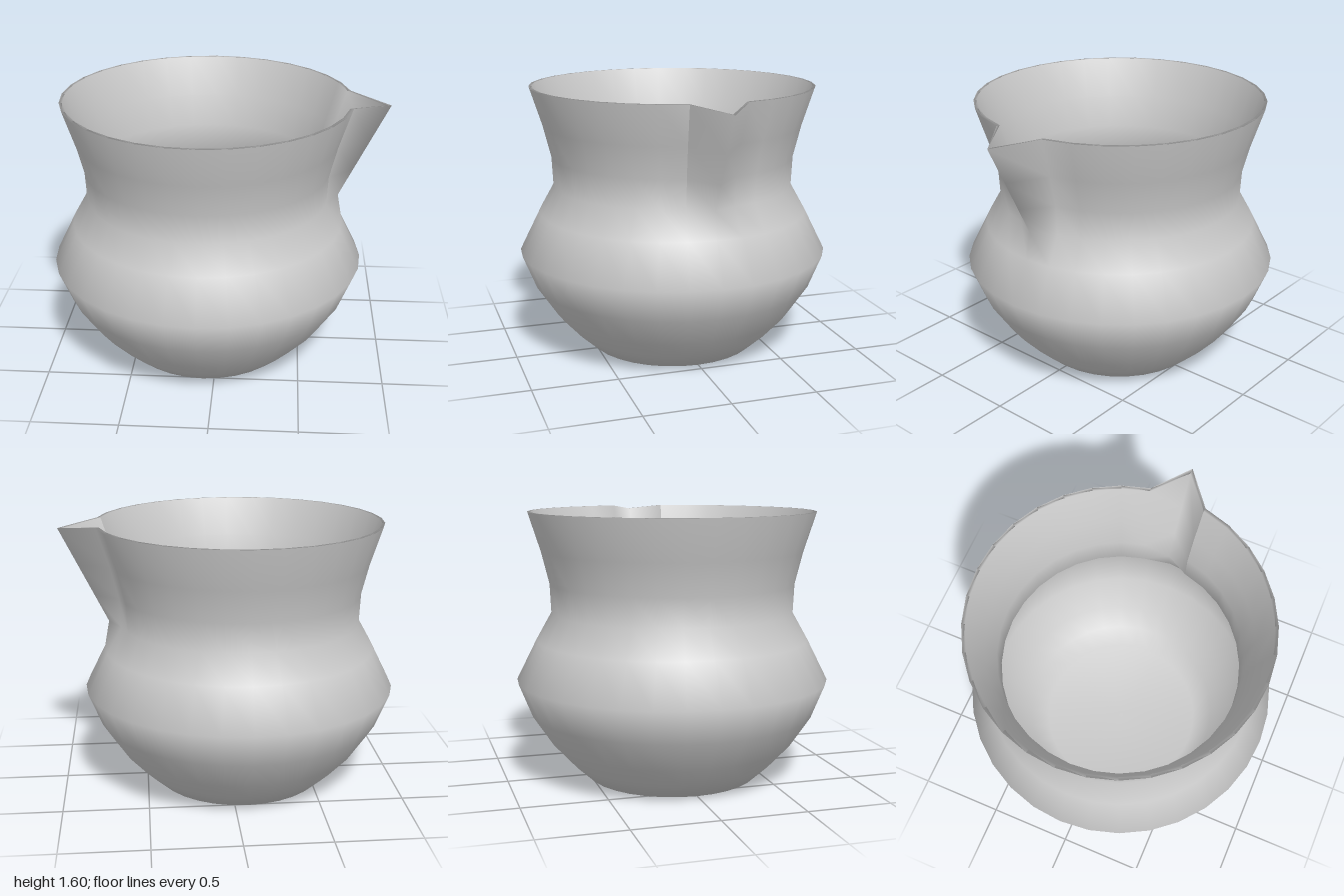
import * as THREE from 'three';

const SEGMENTS = 32;
const WALL = 0.02;

export function createModel() {
  const group = new THREE.Group();
  group.name = 'jug';

  // Outer wall as [radius, height], from the foot to the rim
  const outer = [
    [0.51, 0], [0.62, 0.1], [0.73, 0.22], [0.85, 0.4], [0.93, 0.6],
    [0.81, 0.84], [0.72, 1.0], [0.728, 1.17], [0.775, 1.36], [0.85, 1.595],
  ];
  const inner = outer.map(([r, y], i) => [r - WALL, i === 0 ? WALL : y]).reverse();
  const profile = [[0, 0], ...outer, ...inner, [0, WALL]];
  const rows = profile.length;

  // The seam runs along the front edge of the spout, which lies in column 1
  const step = (Math.PI * 2) / SEGMENTS;
  const geometry = new THREE.LatheGeometry(
    profile.map(([r, y]) => new THREE.Vector2(r, y)), SEGMENTS, Math.PI / 2 - step);
  const pos = geometry.attributes.position;

  // Pull one column of the neck outwards into a pointed spout
  profile.forEach(([, y], row) => {
    if (y < 0.99) return;
    const t = (y - 1) / 0.595;
    const thickness = row > outer.length ? WALL + 0.015 * t : 0;
    pos.setXYZ(rows + row, 0.78 + 0.28 * t - thickness, y - 0.03 * t, 0);
  });
  geometry.computeVertexNormals();

  // Smooth the seam on the belly; it stays sharp beside the spout
  const normals = geometry.attributes.normal;
  const a = new THREE.Vector3();
  const b = new THREE.Vector3();
  profile.forEach(([, y], row) => {
    if (y > 1.01) return;
    const last = SEGMENTS * rows + row;
    a.fromBufferAttribute(normals, row);
    b.fromBufferAttribute(normals, last);
    a.add(b).normalize();
    normals.setXYZ(row, a.x, a.y, a.z);
    normals.setXYZ(last, a.x, a.y, a.z);
  });

  const body = new THREE.Mesh(geometry, new THREE.MeshStandardMaterial({ color: 0xcccccc }));
  body.name = 'bodyWithSpout';
  body.position.x = -0.07;
  group.add(body);
  return group;
}
